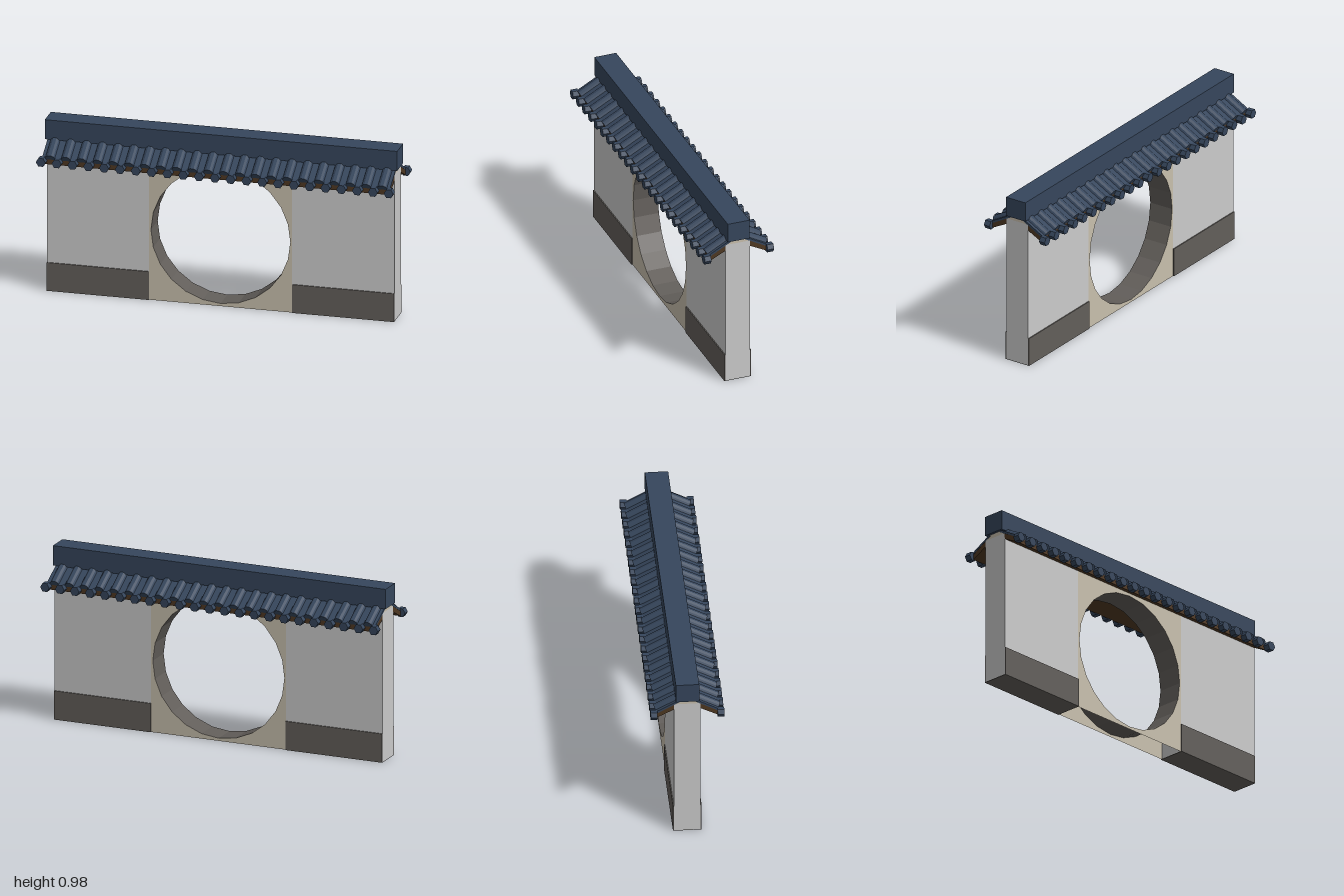
import * as THREE from 'three';

const mat = (name, color, side = THREE.FrontSide) => {
  const m = new THREE.MeshStandardMaterial({ color, side });
  m.name = name;
  return m;
};

export function createModel() {
  const tile = mat('slate blue tile', 0x36465c);
  const plaster = mat('light grey plaster', 0xcbcbcb);
  const cream = mat('cream stone', 0xc8bfad, THREE.DoubleSide);
  const stone = mat('dark stone', 0x625e5a, THREE.DoubleSide);
  const wood = mat('brown wood', 0x4f3822);

  const model = new THREE.Group();
  model.name = 'moonGateWall';
  const add = (parent, name, geo, material, x = 0, y = 0, z = 0) => {
    const m = new THREE.Mesh(geo, material);
    m.name = name;
    m.position.set(x, y, z);
    parent.add(m);
    return m;
  };
  const box = (w, h, d) => new THREE.BoxGeometry(w, h, d);

  const halfLen = 0.972, gateHalf = 0.4, halfDepth = 0.072, wallTop = 0.845;
  const holeY = 0.405, holeR = 0.39, sides = 24;

  // Side walls with thin plinth cladding
  const wingW = halfLen - gateHalf, wingX = (halfLen + gateHalf) / 2;
  for (const s of [-1, 1]) {
    add(model, 'sideWall', box(wingW, wallTop - 0.003, halfDepth * 2), plaster, s * wingX, (wallTop + 0.003) / 2);
    add(model, 'plinthUnderside', box(wingW, 0.003, halfDepth * 2), stone, s * wingX, 0.0015);
    for (const f of [-1, 1]) {
      add(model, 'plinthPlate', box(wingW, 0.163, 0.006), stone, s * wingX, 0.0815, f * (halfDepth + 0.003));
    }
  }

  // Gate: two faces with a round opening, open underneath, and a dark lining
  const face = new THREE.Shape();
  face.moveTo(-gateHalf, 0).lineTo(gateHalf, 0).lineTo(gateHalf, wallTop).lineTo(-gateHalf, wallTop).closePath();
  const rim = [];
  for (let i = 0; i < sides; i++) {
    const a = (i / sides) * Math.PI * 2;
    rim.push(new THREE.Vector2(Math.cos(a) * holeR, holeY + Math.sin(a) * holeR));
  }
  face.holes.push(new THREE.Path(rim));
  const faceGeo = new THREE.ShapeGeometry(face);
  add(model, 'gateFaceFront', faceGeo, cream, 0, 0, halfDepth);
  add(model, 'gateFaceBack', faceGeo, cream, 0, 0, -halfDepth).rotation.y = Math.PI;
  const lining = new THREE.CylinderGeometry(holeR, holeR, halfDepth * 2, sides, 1, true, Math.PI / 2);
  lining.rotateX(Math.PI / 2);
  add(model, 'gateLining', lining.toNonIndexed(), stone, 0, holeY).geometry.computeVertexNormals();

  // Extrude a z-y outline along the length of the wall
  const alongWall = (points, length) => {
    const shape = new THREE.Shape(points.map(([z, y]) => new THREE.Vector2(z, y)));
    const g = new THREE.ExtrudeGeometry(shape, { depth: length, bevelEnabled: false });
    return g.translate(0, 0, -length / 2).rotateY(-Math.PI / 2);
  };

  // Wall cap and ridge
  add(model, 'wallCap', alongWall([[-0.072, 0.845], [0.072, 0.845], [0.03, 0.869], [-0.03, 0.869]], halfLen * 2), cream);
  add(model, 'ridge', box(1.972, 0.112, 0.127), tile, 0, 0.924);

  // Ribbed tile sheet profile
  const pitch = 0.0885, count = 22, x0 = -pitch * count / 2;
  const profile = [[x0, 0]];
  for (let i = 0; i < count; i++) {
    const x = x0 + i * pitch;
    for (const [t, y] of [[0, 0.012], [0.2, 0.012], [0.27, 0.022], [0.4, 0.03], [0.6, 0.03], [0.73, 0.022], [0.8, 0.012]]) {
      profile.push([x + t * pitch, y]);
    }
  }
  profile.push([-x0, 0.012], [-x0, 0]);
  const tileGeo = new THREE.ExtrudeGeometry(
    new THREE.Shape(profile.map(([x, y]) => new THREE.Vector2(x, y))), { depth: 0.148, bevelEnabled: false });
  const soffitGeo = alongWall([[0.07, 0.812], [0.165, 0.763], [0.165, 0.792], [0.07, 0.843]], halfLen * 2);
  const endGeo = new THREE.CylinderGeometry(0.027, 0.027, 0.037, 6, 1, false, Math.PI / 2).toNonIndexed();
  endGeo.rotateX(Math.PI / 2);
  endGeo.computeVertexNormals();

  // Two mirrored roof slopes with a row of round eave ends
  for (const turn of [0, Math.PI]) {
    const slope = new THREE.Group();
    slope.name = turn ? 'backRoof' : 'frontRoof';
    slope.rotation.y = turn;
    add(slope, 'tileSheet', tileGeo, tile, 0, 0.862, 0.036).rotation.x = 0.5;
    add(slope, 'soffit', soffitGeo, wood);
    for (let i = 0; i <= count; i++) {
      add(slope, 'eaveEnd', endGeo, tile, x0 + i * pitch, 0.782, 0.182);
    }
    model.add(slope);
  }
  return model;
}
